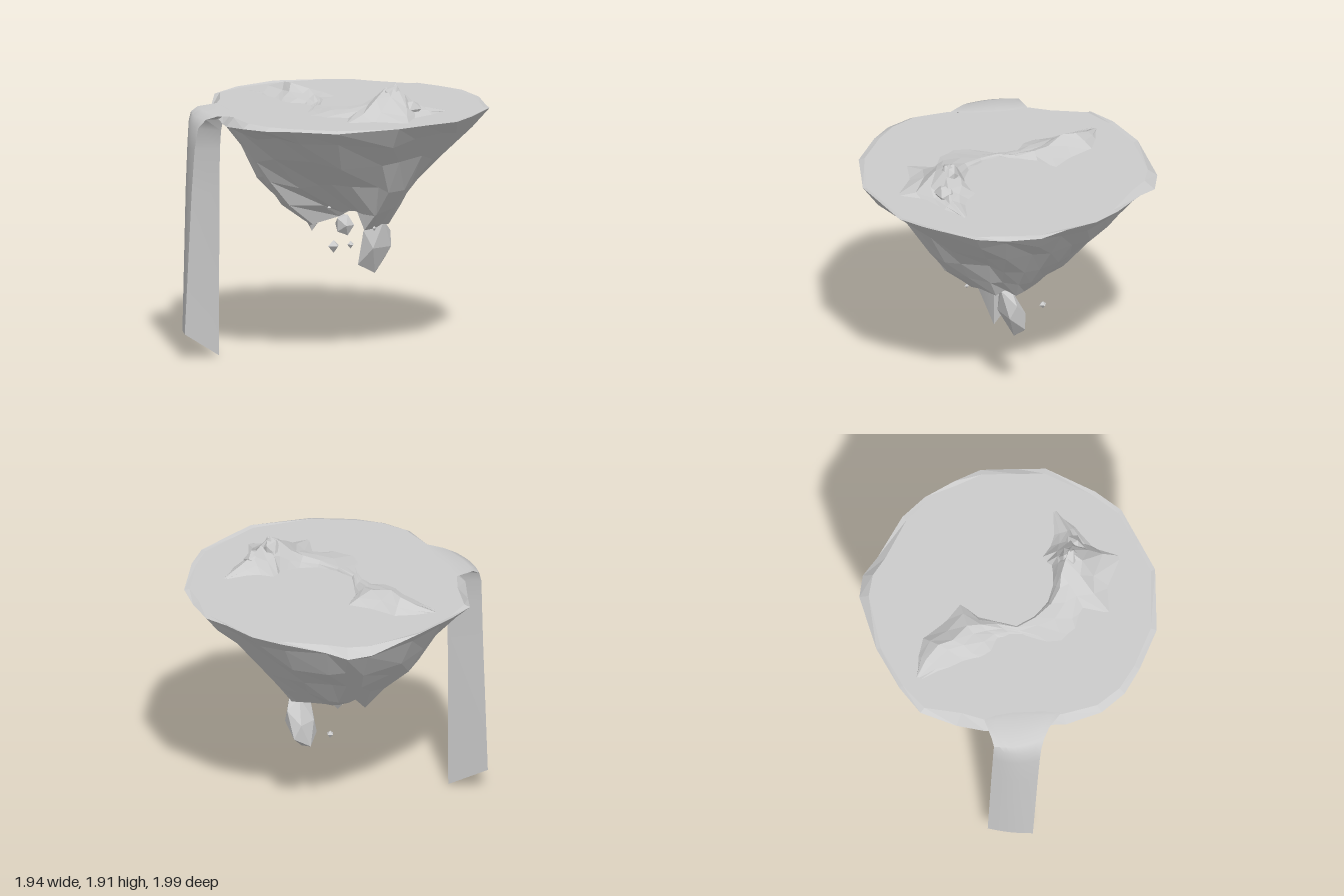
import * as THREE from 'three';
import { toCreasedNormals } from 'three/addons/utils/BufferGeometryUtils.js';

const grey = new THREE.MeshStandardMaterial({ color: 0xcccccc, flatShading: true, side: THREE.DoubleSide });
const smooth = new THREE.MeshStandardMaterial({ color: 0xcccccc, side: THREE.DoubleSide });
const WATER = 1.695;

// Seeded noise in -1..1
let seed = 7;
const noise = () => {
  seed = (seed * 16807) % 2147483647;
  return (seed / 2147483647) * 2 - 1;
};

// Skin between cross-sections of equal length; rings run clockwise seen from above, top first
function loft(rings, { closed = true, top = null, bottom = null } = {}) {
  const pos = [];
  const n = rings[0].length;
  const tri = (a, b, c) => pos.push(...a, ...b, ...c);
  for (let i = 0; i < rings.length - 1; i++) {
    for (let j = 0; j < (closed ? n : n - 1); j++) {
      const k = (j + 1) % n;
      tri(rings[i][j], rings[i][k], rings[i + 1][j]);
      tri(rings[i][k], rings[i + 1][k], rings[i + 1][j]);
    }
  }
  const last = rings[rings.length - 1];
  for (let j = 0; j < n; j++) {
    const k = (j + 1) % n;
    if (top) tri(top, rings[0][k], rings[0][j]);
    if (bottom) tri(bottom, last[j], last[k]);
  }
  const g = new THREE.BufferGeometry();
  g.setAttribute('position', new THREE.Float32BufferAttribute(pos, 3));
  g.computeVertexNormals();
  return g;
}

function add(parent, name, geometry, material = grey) {
  const mesh = new THREE.Mesh(geometry, material);
  mesh.name = name;
  parent.add(mesh);
  return mesh;
}

// Rim outline (x, z, drop below the lake), notched where the water spills over
const RIM = [
  [-0.15, -1, 0], [0.08, -1, 0], [0.28, -0.99, 0.01], [0.5, -0.88, 0.02], [0.67, -0.78, 0.01],
  [0.88, -0.47, 0], [0.97, -0.27, 0], [0.965, 0, 0], [0.96, 0.22, 0], [0.76, 0.6, 0.02],
  [0.52, 0.79, 0.02], [0.35, 0.89, 0.03], [0.15, 0.93, 0.04], [-0.1, 0.88, 0.06], [-0.23, 0.81, 0.07],
  [-0.4, 0.74, 0.05], [-0.6, 0.66, 0.06], [-0.75, 0.52, 0.08], [-0.93, 0.34, 0.02], [-0.97, 0.12, 0],
  [-0.97, -0.2, 0], [-0.88, -0.6, 0.05], [-0.78, -0.73, 0.06], [-0.63, -0.79, 0.04], [-0.35, -0.95, 0.01],
];

function islandGeometry() {
  // y, then the reach towards -x, +x, -z, front left and front right as a share of the rim
  const levels = [
    [1.58, 0.9, 0.88, 0.9, 0.88, 0.86],
    [1.4, 0.76, 0.71, 0.75, 0.74, 0.65],
    [1.2, 0.63, 0.57, 0.585, 0.61, 0.36],
    [1.02, 0.43, 0.45, 0.45, 0.44, 0.1],
    [0.9, 0.26, 0.3, 0.345, 0.24, -0.05],
  ];
  const lake = RIM.map(([x, z, drop]) => [x * (0.97 - drop * 0.6), WATER, z * (0.97 - drop * 0.6)]);
  const rim = RIM.map(([x, z, drop]) => [x, 1.7 - drop + 0.005 * noise(), z]);
  const backHollow = [0, 0.06, 0.13, 0.08, 0];
  const rings = levels.map(([y, l, r, b, fl, fr], i) => RIM.map(([x, z], j) => {
    // The front right flank is undercut, the back right one hollow below a ledge
    const side = THREE.MathUtils.smoothstep(x, -0.15, 0.3);
    const front = fl + (fr - fl) * side;
    const s = 1 - backHollow[i] * Math.exp(-(((Math.atan2(z, x) + 0.8) / 0.35) ** 2)) + 0.018 * noise();
    let dy = 0.03 * noise();
    if (i === 4 && z > 0) dy += 0.1 * side; // arch
    if (i === 4 && j === 19) dy = -0.1; // lowest spike
    return [x * (x < 0 ? l : r) * s, y + dy, z * (z < 0 ? b : front) * s];
  }));
  // Underside drawn up in the middle
  const core = RIM.map(([x, z]) => [x * 0.12, 1.03 + 0.02 * noise(), z * (z < 0 ? 0.18 : 0.02) - 0.05]);
  return loft([lake, rim, ...rings, core], { top: [0, WATER, 0], bottom: [0, 1.05, -0.08] });
}

// Sheet of water curling over the notch and falling as a three-sided column
function waterfallGeometry() {
  const sections = [
    // y,  left x,z,   right x,z,   back x,z,  back y
    [1.698, -0.58, 0.6, -0.1, 0.81, -0.38, 0.62, 1.69],
    [1.69, -0.6, 0.74, -0.22, 0.86, -0.38, 0.67, 1.66],
    [1.66, -0.61, 0.79, -0.29, 0.91, -0.38, 0.69, 1.63],
    [1.6, -0.62, 0.8, -0.33, 0.945, -0.38, 0.71, 1.55],
    [1.45, -0.625, 0.8, -0.35, 0.96, -0.38, 0.72, 1.42],
    [1.15, -0.635, 0.8, -0.37, 0.97, -0.385, 0.72, 1.12],
    [0.17, -0.67, 0.81, -0.42, 0.99, -0.39, 0.72, 0],
  ];
  const rings = sections.map(([y, lx, lz, rx, rz, bx, bz, by], i) => {
    const ring = [[bx, by, bz]];
    for (let k = 0; k <= 8; k++) {
      const t = k / 8;
      const bulge = 0.025 * Math.sin(Math.PI * t) * (i === 6 ? 0.4 : 1);
      ring.push([rx + (lx - rx) * t - 0.58 * bulge, y, rz + (lz - rz) * t + 0.81 * bulge]);
    }
    return ring;
  });
  return toCreasedNormals(loft(rings, { top: [-0.4, 1.698, 0.66], bottom: [-0.5, 0.11, 0.84] }), 0.7);
}

// Crescent of land: inner shore, ridge and outer shore at each station
function crescentGeometry() {
  const stations = [
    // inner x,z,   ridge x,y,z,        outer x,z
    [-0.83, 0.1, -0.84, 1.69, 0.12, -0.84, 0.14],
    [-0.75, -0.03, -0.72, 1.735, 0.04, -0.66, 0.16],
    [-0.66, -0.13, -0.6, 1.775, 0.0, -0.48, 0.19],
    [-0.48, -0.16, -0.5, 1.785, 0.02, -0.36, 0.22],
    [-0.31, -0.23, -0.36, 1.76, -0.03, -0.29, 0.22],
    [-0.25, -0.08, -0.27, 1.735, 0.0, -0.2, 0.15],
    [-0.16, 0.01, -0.17, 1.708, 0.04, -0.12, 0.18],
    [-0.06, 0.11, -0.06, 1.71, 0.13, -0.05, 0.22],
    [0.08, 0.11, 0.08, 1.72, 0.13, 0.02, 0.33],
    [0.21, 0.06, 0.22, 1.735, 0.1, 0.13, 0.43],
    [0.3, -0.03, 0.32, 1.76, 0.04, 0.27, 0.38],
    [0.34, -0.1, 0.37, 1.81, -0.03, 0.4, 0.24],
    [0.36, -0.15, 0.43, 1.88, -0.08, 0.55, 0.37],
    [0.34, -0.19, 0.48, 1.91, -0.12, 0.64, 0.18],
    [0.33, -0.24, 0.53, 1.84, -0.16, 0.83, 0.03],
    [0.41, -0.28, 0.55, 1.78, -0.22, 0.69, -0.12],
    [0.47, -0.34, 0.57, 1.74, -0.3, 0.65, -0.32],
    [0.56, -0.5, 0.57, 1.69, -0.5, 0.58, -0.48],
  ];
  const rings = stations.map(([ix, iz, x, y, z, ox, oz]) => {
    const at = (t, h) => [
      x + (ox - x) * t + 0.012 * noise(),
      WATER + (y - WATER) * (h + 0.12 * noise()),
      z + (oz - z) * t + 0.012 * noise(),
    ];
    // Sections run from the outer shore inwards so the slopes face up
    return [[ox, WATER - 0.01, oz], at(0.6, 0.28), at(0.3, 0.55), [x, y, z],
      [(ix + x) / 2, WATER + (y - WATER) * 0.5, (iz + z) / 2], [ix, WATER - 0.01, iz]];
  });
  return loft(rings, { closed: false });
}

// Rough boulder squeezed into a given size; lean shears it along x with height
function rock(parent, name, [x, y, z], [sx, sy, sz], detailed = true, lean = 0) {
  const g = detailed ? new THREE.IcosahedronGeometry(1, 0) : new THREE.OctahedronGeometry(1, 0);
  const p = g.attributes.position;
  for (let i = 0; i < p.count; i++) {
    const v = new THREE.Vector3().fromBufferAttribute(p, i);
    // The bump depends only on position, so shared corners stay together
    const s = 1 + 0.12 * Math.sin(v.x * 9 + v.y * 5 + v.z * 13);
    p.setXYZ(i, v.x * s * sx + lean * v.y, v.y * s * sy, v.z * s * sz);
  }
  g.computeVertexNormals();
  add(parent, name, g).position.set(x, y, z);
}

export function createModel() {
  const model = new THREE.Group();
  model.name = 'floatingIsland';
  add(model, 'islandRock', islandGeometry());
  add(model, 'waterfall', waterfallGeometry(), smooth);
  add(model, 'crescentHills', crescentGeometry());

  // Crags around the summit
  const crags = new THREE.Group();
  crags.name = 'summitCrags';
  model.add(crags);
  rock(crags, 'summitCrag', [0.47, 1.81, -0.11], [0.075, 0.1, 0.075]);
  rock(crags, 'eastCrag', [0.55, 1.74, -0.19], [0.07, 0.06, 0.09]);
  rock(crags, 'southCrag', [0.48, 1.75, 0.0], [0.09, 0.06, 0.08]);

  // Fragments hanging below the island
  const fragments = new THREE.Group();
  fragments.name = 'floatingFragments';
  model.add(fragments);
  rock(fragments, 'largeFragment', [0.065, 0.71, -0.27], [0.08, 0.21, 0.135], true, 0.06);
  rock(fragments, 'middleFragment', [0, 0.875, -0.05], [0.075, 0.08, 0.06]);
  const small = [[0.015, 0.74, 0.05, 0.045], [-0.185, 0.685, -0.25, 0.027], [0.31, 0.89, -0.07, 0.017], [0.12, 1.03, 0.17, 0.017]];
  for (const [x, y, z, r] of small) rock(fragments, 'smallFragment', [x, y, z], [r, r, r], false);
  return model;
}
